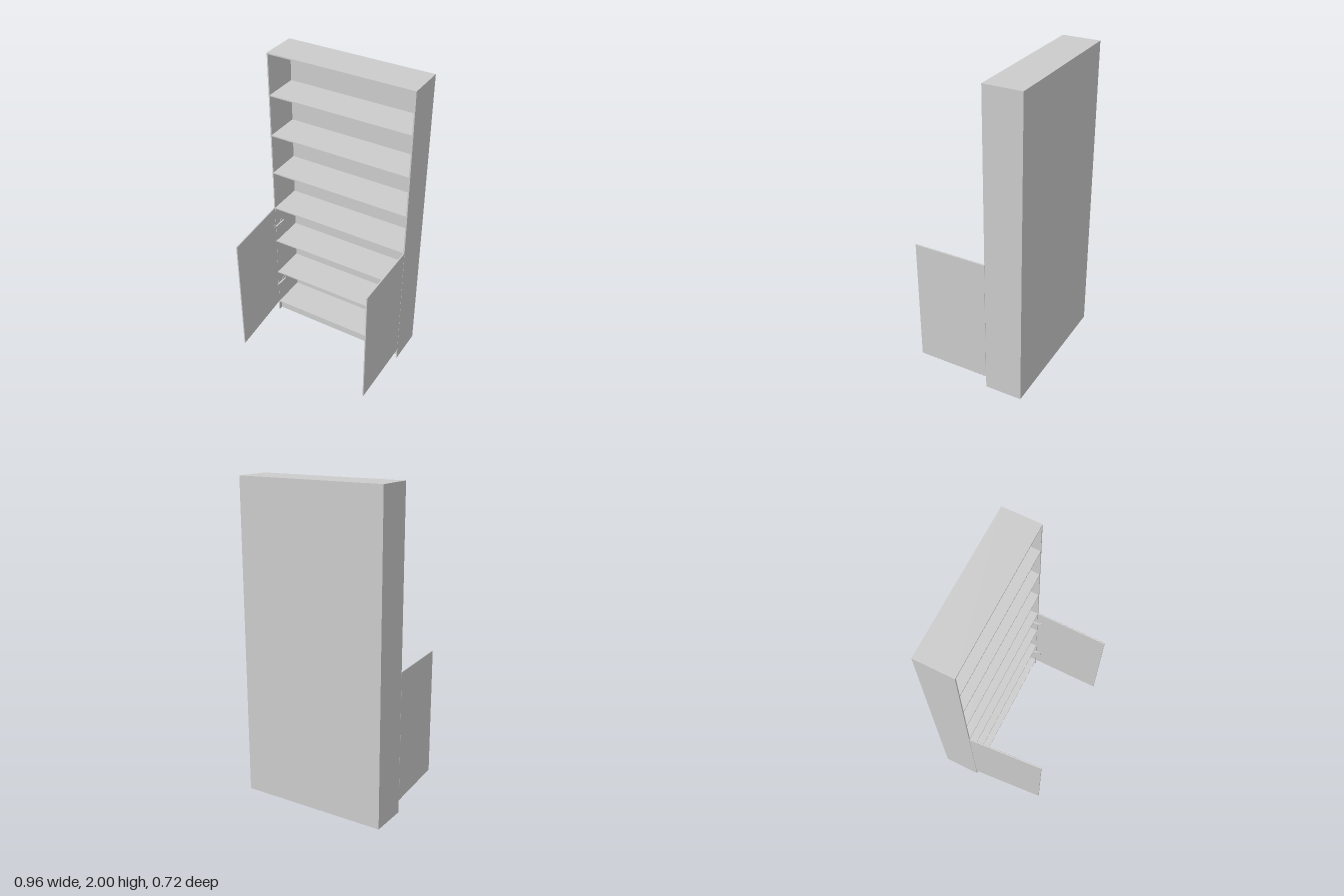
import * as THREE from 'three';
import { RoundedBoxGeometry } from 'three/addons/geometries/RoundedBoxGeometry.js';

const material = new THREE.MeshStandardMaterial({ color: 0xcccccc });
const W = 0.96, H = 2, T = 0.008;
const BACK = -0.36, FRONT = -0.118;

// Box given by its lower and upper corners
function panel(parent, name, [x0, y0, z0], [x1, y1, z1]) {
  const mesh = new THREE.Mesh(new THREE.BoxGeometry(x1 - x0, y1 - y0, z1 - z0), material);
  mesh.position.set((x0 + x1) / 2, (y0 + y1) / 2, (z0 + z1) / 2);
  mesh.name = name;
  parent.add(mesh);
  return mesh;
}

// Concealed hinge: plate on the side panel, arm, curved link and cup on the door
function makeHinge(side) {
  const hinge = new THREE.Group();
  hinge.name = 'hinge';
  const box = (name, x0, x1, h, z0, z1) => panel(hinge, name,
    [Math.min(side * x0, side * x1), -h / 2, z0], [Math.max(side * x0, side * x1), h / 2, z1]);
  box('hingePlate', 0.468, 0.472, 0.044, -0.19, -0.165);
  box('hingeArm', 0.46, 0.47, 0.012, -0.2, -0.12);
  const link = new THREE.Shape();
  link.moveTo(0.46, -0.122);
  link.quadraticCurveTo(0.463, -0.105, 0.469, -0.082);
  link.lineTo(0.473, -0.082);
  link.lineTo(0.473, -0.122);
  const geometry = new THREE.ExtrudeGeometry(link, { depth: 0.012, bevelEnabled: false });
  geometry.rotateX(Math.PI / 2).translate(0, 0.006, 0);
  const curve = new THREE.Mesh(geometry, material);
  curve.name = 'hingeLink';
  if (side < 0) curve.rotation.z = Math.PI;
  hinge.add(curve);
  box('hingeCup', 0.468, 0.473, 0.044, -0.103, -0.082);
  return hinge;
}

// Door built from its hinge edge, swung open by an angle
function makeDoor(name, side, angle) {
  const pivot = new THREE.Group();
  pivot.name = name;
  const length = 0.476;
  const door = new THREE.Mesh(new RoundedBoxGeometry(T, 0.825, length, 2, 0.0015), material);
  door.name = name + 'Panel';
  door.position.set(0, 0, length / 2);
  pivot.add(door);
  pivot.position.set(side * (W / 2 - T / 2), 0.4925, -0.117);
  pivot.rotation.y = angle;
  return pivot;
}

export function createModel() {
  const model = new THREE.Group();
  model.name = 'bookcase';
  const inner = W / 2 - T;

  // Carcass
  for (const s of [-1, 1]) {
    const x = s * (W / 2 - T / 2);
    panel(model, s > 0 ? 'leftSide' : 'rightSide', [x - T / 2, 0, BACK], [x + T / 2, H, FRONT]);
  }
  panel(model, 'top', [-inner, H - T, BACK], [inner, H, FRONT]);
  panel(model, 'backPanel', [-inner, 0, BACK], [inner, H - T, BACK + 0.005]);
  panel(model, 'plinth', [-inner, 0, FRONT - 0.035], [inner, 0.072, FRONT - 0.027]);

  // Evenly spaced shelves, the lowest being the cabinet floor
  for (let i = 0; i < 7; i++) {
    const y = 0.08 + i * 0.275;
    panel(model, i ? 'shelf' : 'floorShelf', [-inner, y - T, BACK + 0.005], [inner, y, FRONT]);
  }

  // Open doors and their hinges
  model.add(makeDoor('leftDoor', 1, 0), makeDoor('rightDoor', -1, Math.atan(0.036 / 0.475)));
  for (const s of [-1, 1]) {
    for (const y of [0.245, 0.755]) {
      const hinge = makeHinge(s);
      hinge.position.y = y;
      model.add(hinge);
    }
  }
  return model;
}
